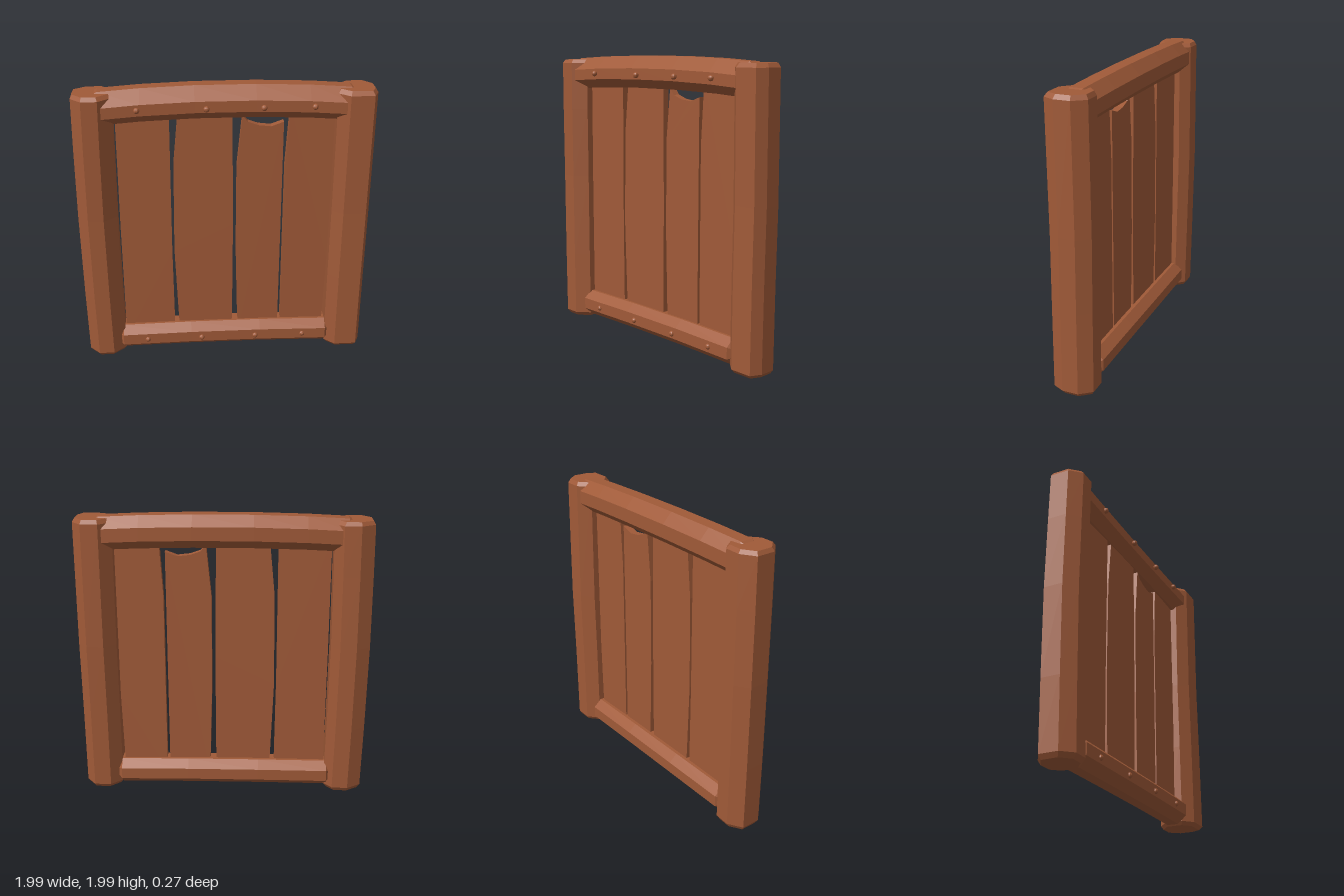
import * as THREE from 'three';

const wood = new THREE.MeshStandardMaterial({ color: 0xa05a38, flatShading: true });
wood.name = 'brown wood';

// Lofts a [u, v] outline through stations [t, scale, du, dv] and caps both ends.
// Along y: u = z, v = x. Along x: u = y, v = z.
function beam(name, axis, outline, stations) {
  const n = outline.length, pos = [], index = [];
  for (const [t, s, du, dv] of stations) {
    for (const [u, v] of outline) {
      const a = u * s + du, b = v * s + dv;
      if (axis === 'y') pos.push(b, t, a);
      else pos.push(t, a, b);
    }
  }
  for (let i = 0; i < stations.length - 1; i++) {
    for (let j = 0; j < n; j++) {
      const k = (j + 1) % n, lo = i * n, hi = lo + n;
      index.push(lo + j, lo + k, hi + k, lo + j, hi + k, hi + j);
    }
  }
  const last = (stations.length - 1) * n;
  for (let j = 1; j < n - 1; j++) {
    index.push(0, j + 1, j, last, last + j, last + j + 1);
  }
  const geo = new THREE.BufferGeometry();
  geo.setAttribute('position', new THREE.Float32BufferAttribute(pos, 3));
  geo.setIndex(index);
  geo.computeVertexNormals();
  const mesh = new THREE.Mesh(geo, wood);
  mesh.name = name;
  return mesh;
}

// Flat board cut from a front outline
function plank(name, points, z = 0, depth = 0.05) {
  const shape = new THREE.Shape(points.map(([x, y]) => new THREE.Vector2(x, y)));
  const geo = new THREE.ExtrudeGeometry(shape, { depth, bevelEnabled: false });
  geo.translate(0, 0, z - depth / 2);
  const mesh = new THREE.Mesh(geo, wood);
  mesh.name = name;
  return mesh;
}

export function createModel() {
  const model = new THREE.Group();
  model.name = 'woodenPanel';

  // Posts, the right one bowed slightly outward and back
  const rightPost = [[0.135, -0.065], [0.135, 0.04], [0.06, 0.128], [-0.06, 0.128],
    [-0.125, 0.07], [-0.13, -0.04], [-0.07, -0.135], [0.06, -0.135]];
  model.add(beam('rightPost', 'y', rightPost, [
    [0.01, 0.84, 0, -0.855], [0.04, 1, 0.003, -0.852], [0.5, 1, 0, -0.859],
    [1.1, 1, -0.004, -0.863], [1.6, 1, 0, -0.858], [1.94, 1, 0.002, -0.852], [1.965, 0.87, 0, -0.855]]));
  const leftPost = [[0.135, -0.06], [0.135, 0.095], [0.06, 0.13], [-0.05, 0.13],
    [-0.13, 0.065], [-0.13, -0.05], [-0.06, -0.13], [0.07, -0.13]];
  model.add(beam('leftPost', 'y', leftPost, [
    [0.015, 0.86, 0, 0.86], [0.04, 1, 0.003, 0.86], [0.6, 1, 0, 0.86],
    [1.1, 1, -0.005, 0.862], [1.94, 1, 0.002, 0.86], [1.968, 0.87, 0, 0.86]]));

  // Arched top rail
  const topOutline = [[0.11, 0.04], [0.025, 0.12], [-0.05, 0.12], [-0.11, 0.05],
    [-0.11, -0.05], [-0.05, -0.115], [0.04, -0.115], [0.11, -0.05]];
  const topStations = [[-0.855, 0.82, 1.865, 0.005], [-0.82, 1, 1.865, 0.003]];
  for (const x of [-0.55, -0.2, 0.2, 0.55]) {
    const k = 1 - (x / 0.85) ** 2;
    topStations.push([x, 1, 1.865 + 0.026 * k, 0.004 - 0.025 * k]);
  }
  topStations.push([0.82, 1, 1.865, 0.003], [0.86, 0.82, 1.865, 0.005]);
  model.add(beam('topRail', 'x', topOutline, topStations));

  // Bottom rail
  const bottomOutline = [[0.092, 0.045], [0.04, 0.105], [-0.04, 0.105], [-0.095, 0.04],
    [-0.095, -0.04], [-0.04, -0.105], [0.04, -0.105], [0.092, -0.045]];
  model.add(beam('bottomRail', 'x', bottomOutline, [
    [-0.775, 0.6, 0.122, 0], [-0.74, 1, 0.122, 0], [-0.25, 1, 0.126, -0.004],
    [0.25, 1, 0.125, -0.004], [0.73, 1, 0.117, 0], [0.765, 0.6, 0.117, 0]]));

  // Worn planks with uneven edges
  const planks = [
    [[-0.72, 0.1], [-0.365, 0.1], [-0.37, 0.8], [-0.365, 1.85], [-0.715, 1.85], [-0.72, 1]],
    [[-0.33, 0.1], [0.05, 0.1], [0.055, 1], [0.048, 1.85], [-0.305, 1.85], [-0.345, 1.45],
      [-0.355, 0.8], [-0.338, 0.3]],
    [[0.095, 0.1], [0.385, 0.1], [0.388, 1.74], [0.305, 1.71], [0.22, 1.72], [0.15, 1.745],
      [0.115, 1.79], [0.08, 1.43], [0.078, 0.8]],
    [[0.405, 0.1], [0.71, 0.1], [0.725, 0.7], [0.725, 1.85], [0.43, 1.85], [0.405, 1.43]],
  ];
  planks.forEach((points, i) => model.add(plank('plank' + (i + 1), points)));

  // Round nail heads on both rails
  const nailGeo = new THREE.SphereGeometry(0.02, 10, 8);
  const rows = [
    ['topNail', 1.87, 0.118, [-0.57, -0.125, 0.245, 0.575]],
    ['bottomNail', 0.12, 0.1, [-0.565, -0.175, 0.215, 0.56]],
  ];
  for (const [name, y, z, xs] of rows) {
    for (const x of xs) {
      const nail = new THREE.Mesh(nailGeo, wood);
      nail.name = name;
      nail.position.set(x, y, z);
      model.add(nail);
    }
  }
  return model;
}
